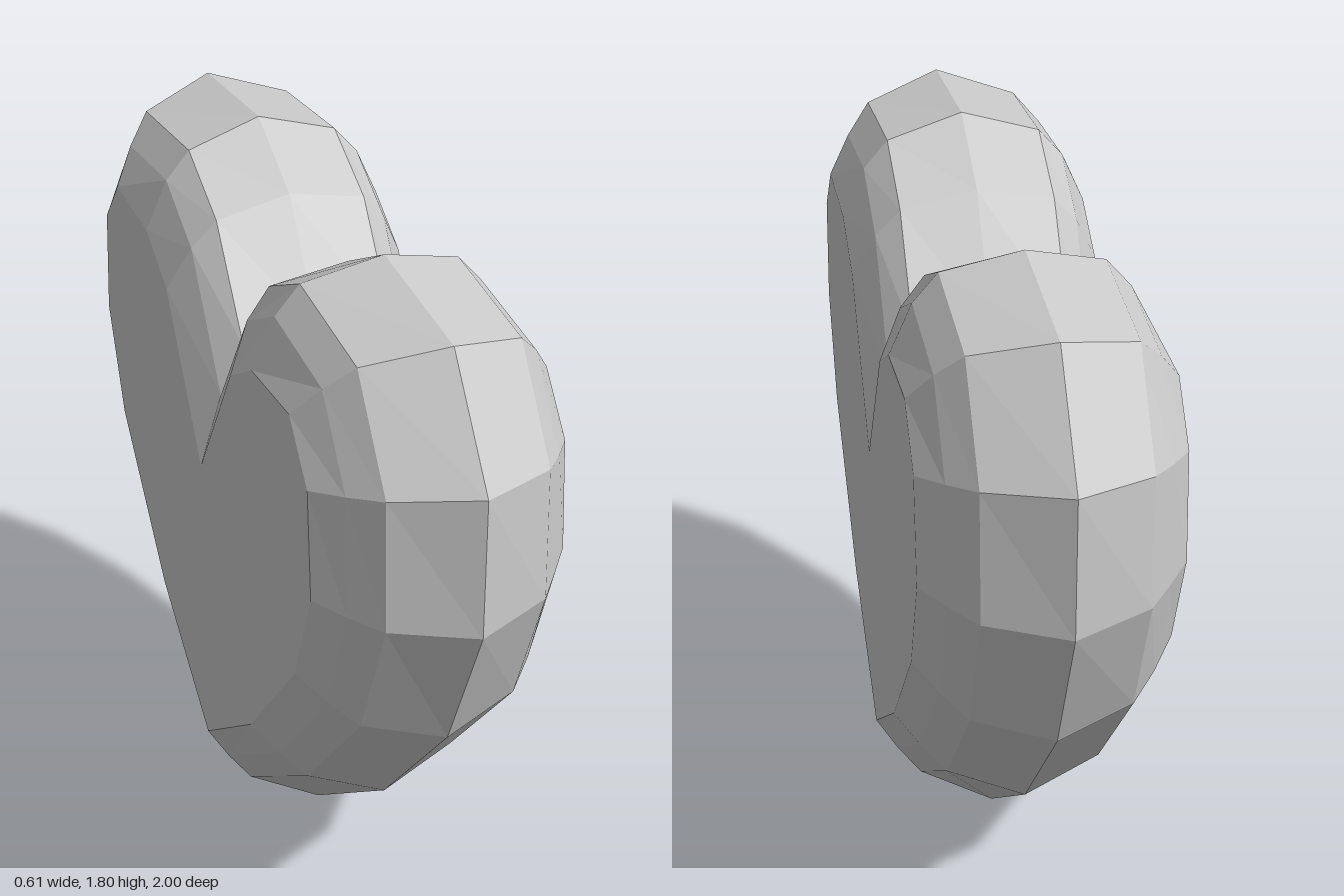
import * as THREE from 'three';

// Half outlines as [z, y], from the bottom tip up to the notch
const LAYERS = [
  { x: 0, half: [[0, 0], [0.46, 0.35], [0.83, 0.77], [1, 1.15], [1, 1.5], [0.8, 1.765], [0.41, 1.8], [0.195, 1.685], [0, 1.41]] },
  { x: 0.19, half: [[0, 0.115], [0.43, 0.425], [0.77, 0.81], [0.91, 1.155], [0.9, 1.48], [0.73, 1.715], [0.385, 1.75], [0.185, 1.65], [0, 1.4]] },
  { x: 0.25, half: [[0, 0.2], [0.39, 0.485], [0.715, 0.855], [0.83, 1.16], [0.82, 1.46], [0.68, 1.65], [0.385, 1.68], [0.2, 1.58], [0, 1.28]] },
  { x: 0.305, half: [[0, 0.295], [0.34, 0.55], [0.65, 0.905], [0.755, 1.17], [0.735, 1.44], [0.625, 1.57], [0.385, 1.555], [0.235, 1.465], [0, 1.095]] },
];

// Mirror a half outline in z to make the closed heart loop
function closeLoop(half) {
  return [...half, ...half.slice(1, -1).reverse().map(([z, y]) => [-z, y])];
}

// Skin the layers from one flat face to the other, then close both faces
function heartGeometry() {
  const rings = [
    ...LAYERS.slice(1).reverse().map((l) => ({ x: -l.x, loop: closeLoop(l.half) })),
    ...LAYERS.map((l) => ({ x: l.x, loop: closeLoop(l.half) })),
  ];
  const n = rings[0].loop.length;
  const last = (rings.length - 1) * n;
  const positions = rings.flatMap(({ x, loop }) => loop.flatMap(([z, y]) => [x, y, z]));
  const index = [];

  // Bevelled rim
  for (let i = 0; i < rings.length - 1; i++) {
    for (let j = 0; j < n; j++) {
      const k = (j + 1) % n;
      const a = i * n + j, b = i * n + k, c = b + n, d = a + n;
      index.push(a, d, b, d, c, b);
    }
  }

  // Flat faces
  const contour = rings[0].loop.map(([z, y]) => new THREE.Vector2(z, y));
  for (const [a, b, c] of THREE.ShapeUtils.triangulateShape(contour, [])) {
    index.push(a, b, c, last + a, last + c, last + b);
  }

  const geometry = new THREE.BufferGeometry();
  geometry.setAttribute('position', new THREE.Float32BufferAttribute(positions, 3));
  geometry.setIndex(index);
  const faceted = geometry.toNonIndexed();
  faceted.computeVertexNormals();
  return faceted;
}

export function createModel() {
  const group = new THREE.Group();
  group.name = 'heartModel';
  const material = new THREE.MeshStandardMaterial({ color: 0xcccccc, flatShading: true });
  const heart = new THREE.Mesh(heartGeometry(), material);
  heart.name = 'heart';
  group.add(heart);
  return group;
}
